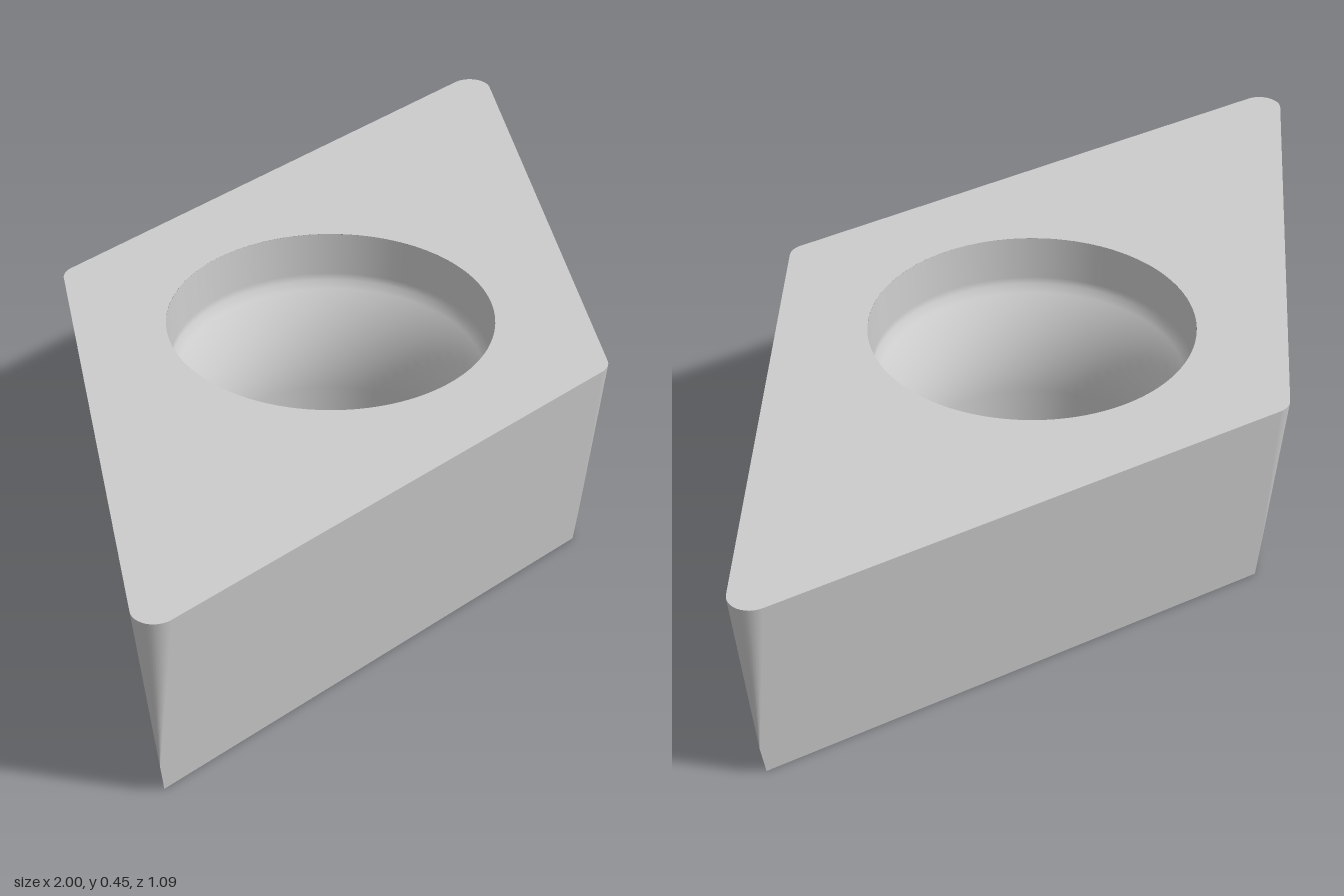
import * as THREE from 'three';

const H = 0.454;                                // thickness
const DRAFT = THREE.MathUtils.degToRad(7);      // clearance angle of the flanks
const NOSE = THREE.MathUtils.degToRad(55);      // acute corner angle
const HALF = 0.543, RADIUS = 0.047;             // half width and corner radius at the top
const CORE = HALF - RADIUS;                     // rhombus through the corner axes
const SHARP_Y = H - RADIUS / Math.tan(DRAFT);   // height where the corner radius runs out
const STEPS = 12, ROUND = 64;

// Directions of the four flanks, measured from +z towards +x
const flanks = [0, NOSE, Math.PI, Math.PI + NOSE, 2 * Math.PI];
const bluntX = (1 - Math.cos(NOSE)) / Math.sin(NOSE);
const acuteX = (1 + Math.cos(NOSE)) / Math.sin(NOSE);
const corners = [[bluntX, 1], [acuteX, -1], [-bluntX, -1], [-acuteX, 1]];

// Rounded rhombus at height y, as points with their outward direction
function outline(y, steps = STEPS) {
  const half = HALF - (H - y) * Math.tan(DRAFT);
  const core = Math.min(CORE, half), r = half - core;
  return corners.flatMap(([cx, cz], k) => Array.from({ length: steps + 1 }, (_, i) => {
    const a = flanks[k] + (flanks[k + 1] - flanks[k]) * (steps ? i / steps : 0);
    return { x: cx * core + r * Math.sin(a), z: cz * core + r * Math.cos(a), a };
  }));
}

// Tapered flanks: corner cones above, sharp edges below
function flankGeometry() {
  const position = [], normal = [], index = [];
  const levels = [0, SHARP_Y, H];
  const n = 4 * (STEPS + 1);
  for (const y of levels) {
    for (const p of outline(y)) {
      position.push(p.x, y, p.z);
      normal.push(Math.sin(p.a) * Math.cos(DRAFT), -Math.sin(DRAFT), Math.cos(p.a) * Math.cos(DRAFT));
    }
  }
  for (let j = 0; j < levels.length - 1; j++) {
    for (let i = 0; i < n; i++) {
      const flat = i % (STEPS + 1) === STEPS;
      if (j === 0 && !flat) continue;           // no rounding in the lower band
      const k = (i + 1) % n;
      const a = j * n + i, b = j * n + k, c = a + n, d = b + n;
      if (flat) index.push(a, b, d);
      index.push(a, d, c);
    }
  }
  const g = new THREE.BufferGeometry();
  g.setAttribute('position', new THREE.Float32BufferAttribute(position, 3));
  g.setAttribute('normal', new THREE.Float32BufferAttribute(normal, 3));
  g.setIndex(index);
  return g;
}

// Flat face with the round opening; up = 1 for the top, -1 for the bottom
function faceGeometry(y, steps, hole, up) {
  const shape = new THREE.Shape(outline(y, steps).map(p => new THREE.Vector2(p.x, -up * p.z)));
  shape.holes.push(new THREE.Path().absarc(0, 0, hole, 0, 2 * Math.PI, true));
  return new THREE.ShapeGeometry(shape, ROUND).rotateX(-up * Math.PI / 2).translate(0, y, 0);
}

// Screw hole: steep rim, flared seat, straight bore (top to bottom)
function holeGeometry() {
  const rim = 0.35, seat = 0.343, bore = 0.25, seatY = 0.34, flare = Math.PI / 4;
  const R = (seat - bore) / (1 - Math.cos(flare));
  const arcY = seatY - R * Math.sin(flare);
  const points = [new THREE.Vector2(rim, H), new THREE.Vector2(seat + 0.001, seatY + 0.016)];
  for (let i = 0; i <= 12; i++) {
    const a = flare * (1 - i / 12);
    points.push(new THREE.Vector2(bore + R * (1 - Math.cos(a)), arcY + R * Math.sin(a)));
  }
  points.push(new THREE.Vector2(bore, 0));
  return new THREE.LatheGeometry(points, ROUND);
}

export function createModel() {
  const group = new THREE.Group();
  group.name = 'cuttingInsert';
  const material = new THREE.MeshStandardMaterial({ color: 0xcccccc });
  const add = (name, geometry) => {
    const mesh = new THREE.Mesh(geometry, material);
    mesh.name = name;
    group.add(mesh);
  };
  add('flanks', flankGeometry());
  add('topFace', faceGeometry(H, STEPS, 0.35, 1));
  add('bottomFace', faceGeometry(0, 0, 0.25, -1));
  add('screwHole', holeGeometry());
  return group;
}
